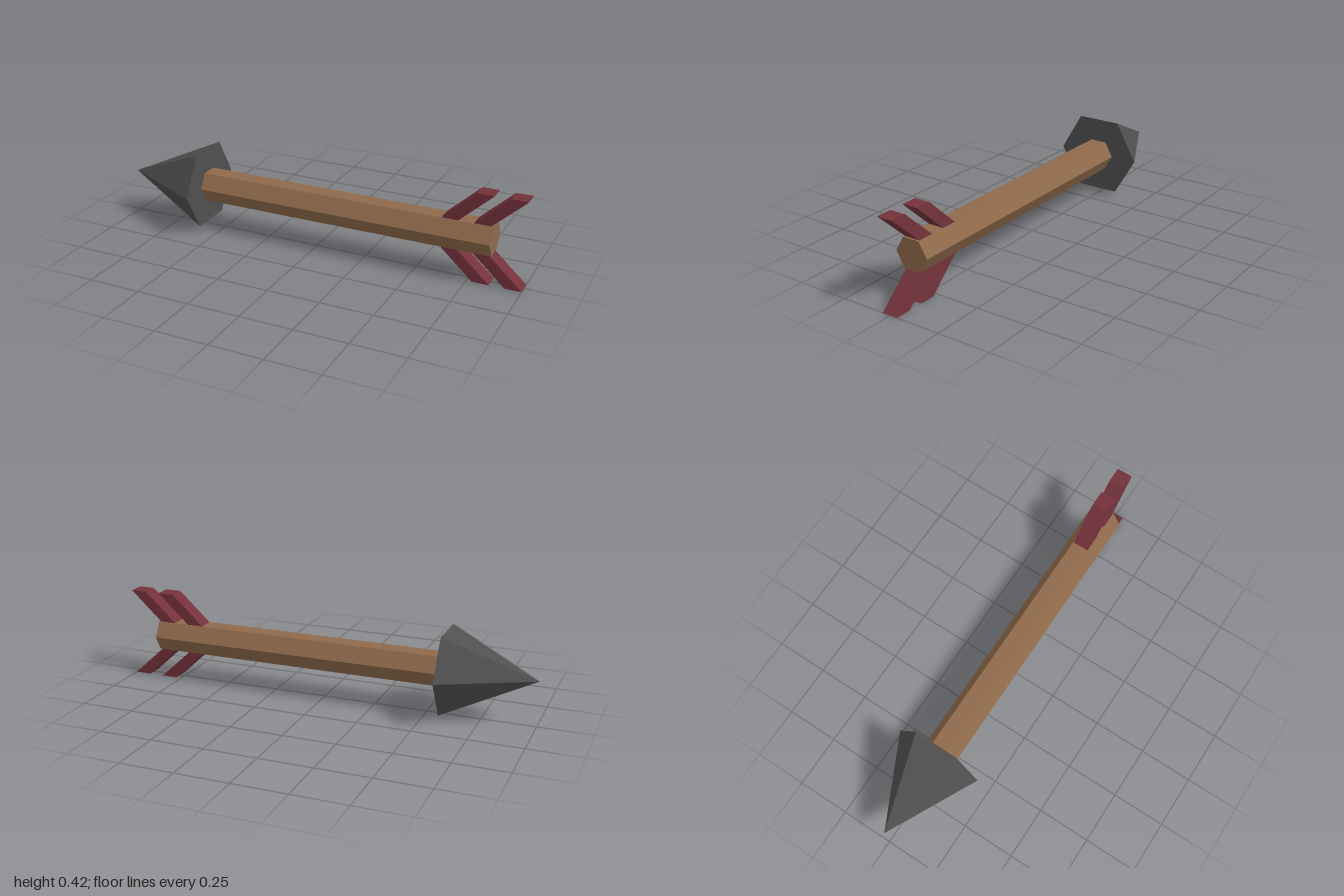
import * as THREE from 'three';

const AXIS_Y = 0.212;

function material(color) {
  return new THREE.MeshStandardMaterial({ color, flatShading: true });
}

export function createModel() {
  const group = new THREE.Group();
  const add = (name, geometry, mat) => {
    const mesh = new THREE.Mesh(geometry, mat);
    mesh.name = name;
    mesh.position.y = AXIS_Y;
    group.add(mesh);
  };

  // Six-sided head, pointing along -x
  const head = new THREE.ConeGeometry(0.211, 0.42, 6);
  head.rotateZ(Math.PI / 2).translate(-0.79, 0, 0);
  add('arrowHead', head, material(0x505050));

  // Six-sided shaft
  const shaft = new THREE.CylinderGeometry(0.081, 0.081, 1.435, 6);
  shaft.rotateZ(Math.PI / 2).translate(0.1375, 0, 0);
  add('shaft', shaft, material(0x8f6a4b));

  // Slanted feathers: two above the shaft, two mirrored below
  const red = material(0x74323a);
  for (const [side, s] of [['upper', 1], ['lower', -1]]) {
    for (const [place, x] of [['Front', 0.62], ['Rear', 0.768]]) {
      const outline = new THREE.Shape([
        new THREE.Vector2(x, s * 0.07),
        new THREE.Vector2(x + 0.077, s * 0.07),
        new THREE.Vector2(x + 0.232, s * 0.212),
        new THREE.Vector2(x + 0.155, s * 0.212),
      ]);
      const feather = new THREE.ExtrudeGeometry(outline, { depth: 0.076, bevelEnabled: false });
      feather.translate(0, 0, -0.038);
      add(side + place + 'Feather', feather, red);
    }
  }
  return group;
}
